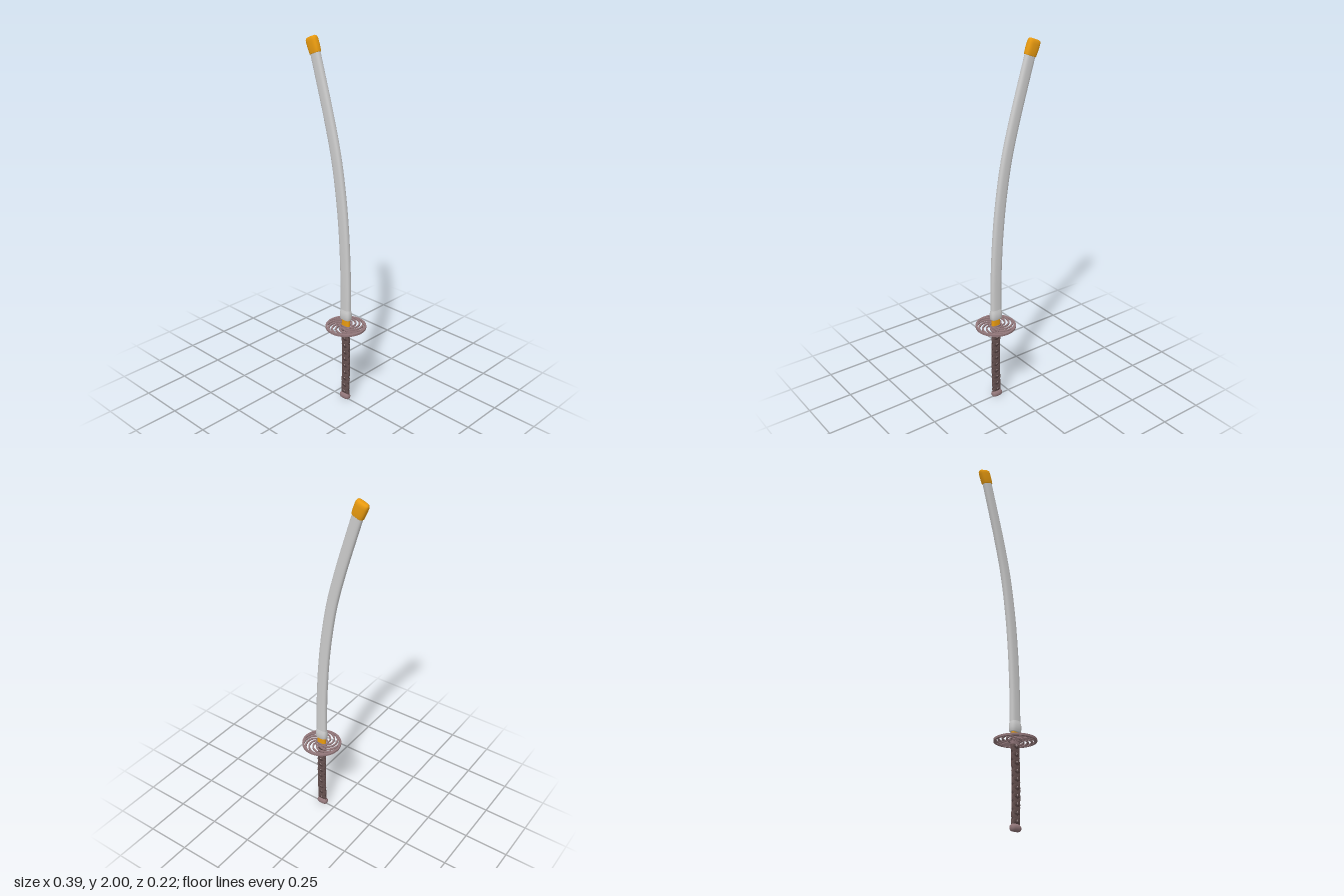
import * as THREE from 'three';

const material = (color, extra = {}) => new THREE.MeshStandardMaterial({ color, ...extra });
const AXIS = 0.085; // x of the guard centre

// Point of a rounded-rectangle section with half sizes a (width) and b (depth)
function sectionPoint(angle, a, b, power = 0.7) {
  const c = Math.cos(angle), s = Math.sin(angle);
  return [a * Math.sign(c) * Math.abs(c) ** power, b * Math.sign(s) * Math.abs(s) ** power];
}

// Ring of points around (x, y), tilted by the lean of the path
function ring(x, y, a, b, lean = 0, sides = 24) {
  return Array.from({ length: sides }, (_, j) => {
    const [u, w] = sectionPoint((j / sides) * Math.PI * 2, a, b);
    return new THREE.Vector3(x + u * Math.cos(lean), y + u * Math.sin(lean), w);
  });
}

// Skin over closed rings, with a cap at both ends
function loft(rings) {
  const n = rings[0].length, points = rings.flat(), index = [];
  for (let i = 0; i < rings.length - 1; i++) {
    for (let j = 0; j < n; j++) {
      const a = i * n + j, b = i * n + (j + 1) % n;
      index.push(a, a + n, b, b, a + n, b + n);
    }
  }
  [rings[0], rings[rings.length - 1]].forEach((r, end) => {
    const start = points.length;
    const centre = r.reduce((s, p) => s.add(p), new THREE.Vector3()).divideScalar(n);
    points.push(centre, ...r);
    for (let j = 0; j < n; j++) {
      const a = start + 1 + j, b = start + 1 + (j + 1) % n;
      index.push(start, end ? b : a, end ? a : b);
    }
  });
  const geometry = new THREE.BufferGeometry().setFromPoints(points);
  geometry.setIndex(index);
  geometry.computeVertexNormals();
  return geometry;
}

// Flat horizontal plate from a shape drawn in x and z
function plate(shape, thickness, top, segments = 48) {
  const g = new THREE.ExtrudeGeometry(shape, { depth: thickness, bevelEnabled: false, curveSegments: segments });
  return g.rotateX(Math.PI / 2).translate(AXIS, top, 0);
}

function annulus(outer, inner) {
  const shape = new THREE.Shape().absarc(0, 0, outer, 0, Math.PI * 2);
  shape.holes.push(new THREE.Path().absarc(0, 0, inner, 0, Math.PI * 2, true));
  return shape;
}

// Curved spoke that winds inward from the rim to the hub
function spokeShape(start) {
  const steps = 8, outer = [], inner = [];
  for (let i = 0; i <= steps; i++) {
    const t = i / steps, angle = start + t * 1.9;
    const r = 0.103 - 0.07 * t ** 1.25, half = 0.0048;
    const at = (d) => new THREE.Vector2(Math.cos(angle) * (r + d), Math.sin(angle) * (r + d));
    outer.push(at(half));
    inner.unshift(at(-half));
  }
  return new THREE.Shape([...outer, ...inner]);
}

const handleX = (y) => 0.082 + 0.005 * Math.sin((Math.PI * y) / 0.45);

// Flat band wound around the handle; direction is 1 or -1
function wrapBand(direction, phase) {
  const pitch = 0.084, y0 = 0.04, y1 = 0.435, half = 0.0125, steps = 120, rings = [];
  for (let i = 0; i <= steps; i++) {
    const y = y0 + (y1 - y0) * (i / steps);
    const angle = direction * (((y - y0) / pitch) * Math.PI * 2 + phase);
    const corner = (lift, dy) => {
      const [u, w] = sectionPoint(angle, 0.024 + lift, 0.009 + lift);
      return new THREE.Vector3(handleX(y) + u, y + dy, w);
    };
    const r = [corner(-0.002, half), corner(0.002, half), corner(0.003, 0), corner(0.002, -half), corner(-0.002, -half)];
    rings.push(direction > 0 ? r : r.reverse());
  }
  return loft(rings);
}

export function createModel() {
  const model = new THREE.Group();
  const grey = material(0xcccccc);
  const gold = material(0xe89a10);
  const iron = material(0x92777a);
  const cloth = material(0x64504f, { flatShading: true });
  const inlay = material(0xb8a3a4, { flatShading: true });
  const add = (name, geometry, mat, parent = model) => {
    const mesh = new THREE.Mesh(geometry, mat);
    mesh.name = name;
    parent.add(mesh);
    return mesh;
  };
  const group = (name) => {
    const g = new THREE.Group();
    g.name = name;
    model.add(g);
    return g;
  };

  // Curved scabbard
  const path = new THREE.CatmullRomCurve3([
    [0.084, 0.51], [0.081, 0.75], [0.067, 1.0], [0.045, 1.2],
    [0.011, 1.4], [-0.04, 1.6], [-0.099, 1.8], [-0.134, 1.915],
  ].map(([x, y]) => new THREE.Vector3(x, y, 0)));
  const scabbard = [];
  for (let i = 0; i <= 48; i++) {
    const t = i / 48, p = path.getPointAt(t), d = path.getTangentAt(t);
    scabbard.push(ring(p.x, p.y, 0.0315 - 0.002 * t, 0.0175, Math.atan2(-d.x, d.y)));
  }
  add('scabbard', loft(scabbard), grey);

  // Flared collar at the mouth of the scabbard
  add('scabbardCollar', loft([
    [0.5, 0.029, 0.017], [0.504, 0.034, 0.021], [0.522, 0.035, 0.0225],
    [0.537, 0.035, 0.0225], [0.548, 0.033, 0.02], [0.56, 0.031, 0.0175],
  ].map(([y, a, b]) => ring(0.084, y, a, b))), grey);

  // Rounded end cap, leaning with the scabbard
  const lean = 0.37;
  add('scabbardEndCap', loft([
    [0, 0.031, 0.018], [0.003, 0.0335, 0.0205], [0.03, 0.0355, 0.0215], [0.06, 0.036, 0.0215],
    [0.073, 0.0355, 0.0195], [0.08, 0.033, 0.015], [0.084, 0.027, 0.007],
  ].map(([s, a, b]) => ring(-0.132 - s * Math.sin(lean), 1.91 + s * Math.cos(lean), a, b, lean))), gold);

  // Blade collar between guard and scabbard
  add('bladeCollar', loft([[0.46, 0.027, 0.013], [0.506, 0.025, 0.012]].map(([y, a, b]) => ring(AXIS, y, a, b))), gold);

  // Openwork guard
  const guard = group('guard');
  add('guardRim', plate(annulus(0.111, 0.1), 0.011, 0.463, 64), iron, guard);
  add('guardHub', plate(annulus(0.037, 0.029), 0.01, 0.4625), iron, guard);
  add('guardSeat', plate(new THREE.Shape().absellipse(0, 0, 0.031, 0.019, 0, Math.PI * 2), 0.012, 0.4635), iron, guard);
  for (let i = 0; i < 10; i++) {
    add('guardSpoke', plate(spokeShape((i / 10) * Math.PI * 2), 0.008, 0.4615), iron, guard);
  }

  // Handle core with crossing wrap bands
  const handle = group('handle');
  const core = [];
  for (let i = 0; i <= 12; i++) {
    const y = 0.02 + 0.435 * (i / 12);
    core.push(ring(handleX(y), y, 0.024, 0.009));
  }
  add('handleCore', loft(core), material(0x4c3b3b), handle);
  for (const direction of [1, -1]) {
    for (const phase of [0, Math.PI]) add('handleWrap', wrapBand(direction, phase), cloth, handle);
  }

  // Diamond inlays down both faces
  for (let i = 0; i < 10; i++) {
    for (const side of [1, -1]) {
      const y = 0.052 + i * 0.042;
      const stud = add('handleInlay', new THREE.OctahedronGeometry(1), inlay, handle);
      stud.scale.set(0.009, 0.0085, 0.004);
      stud.position.set(handleX(y), y, side * 0.0095);
    }
  }

  // Handle fittings
  add('handleFerrule', loft([[0.434, 0.026, 0.0125], [0.454, 0.027, 0.013]]
    .map(([y, a, b]) => ring(handleX(y), y, a, b))), iron, handle);
  add('pommel', loft([
    [0, 0.026, 0.013], [0.004, 0.03, 0.018], [0.014, 0.0325, 0.0205],
    [0.024, 0.031, 0.019], [0.03, 0.027, 0.0135], [0.034, 0.024, 0.01],
  ].map(([y, a, b]) => ring(0.082, y, a, b))), iron, handle);

  return model;
}
